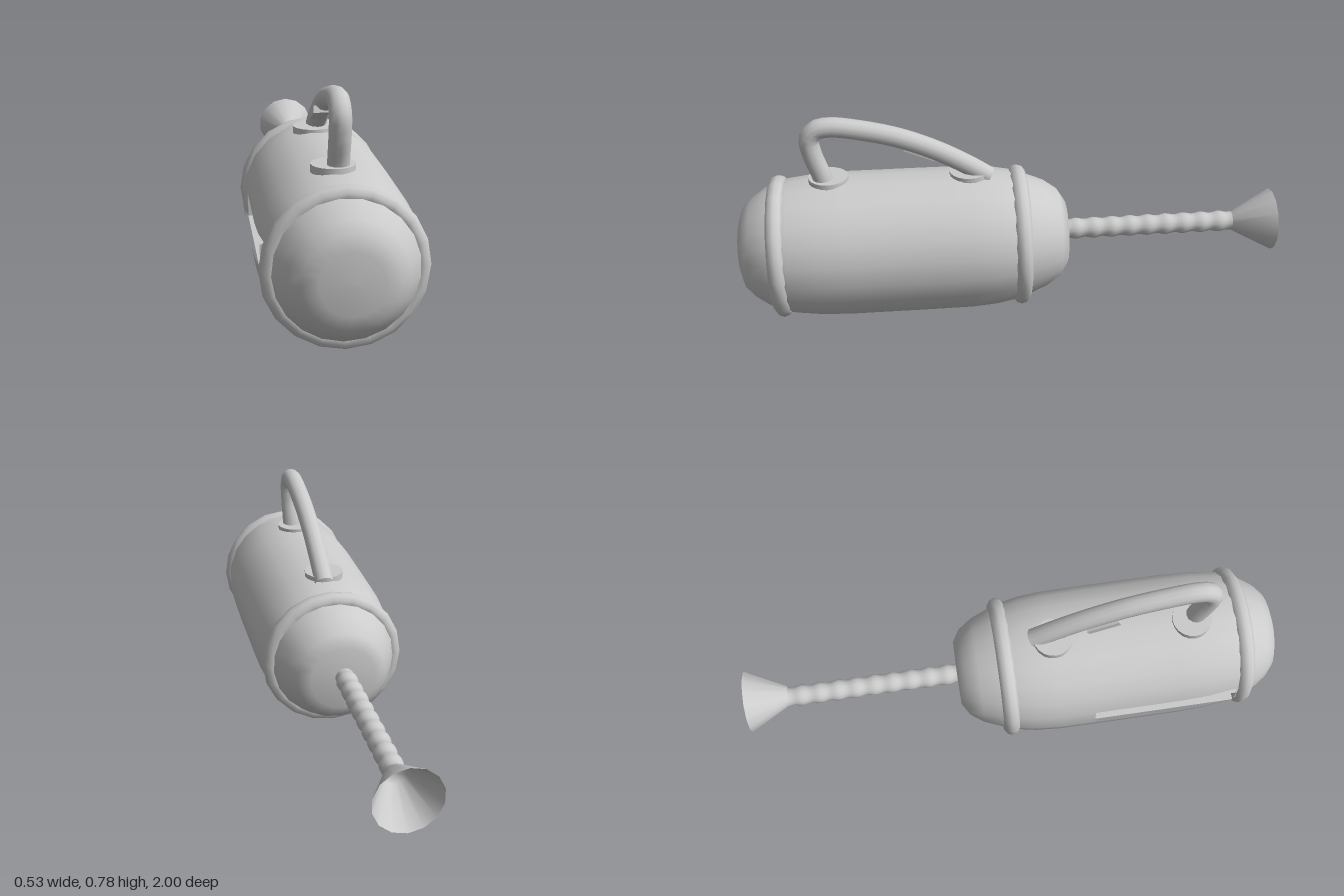
import * as THREE from 'three';

const AXIS_Y = 0.267;

export function createModel() {
  const model = new THREE.Group();
  const grey = new THREE.MeshStandardMaterial({ color: 0xcccccc });
  const thin = new THREE.MeshStandardMaterial({ color: 0xcccccc, side: THREE.DoubleSide });
  const add = (name, geometry, x, y, z, material = grey, parent = model) => {
    const mesh = new THREE.Mesh(geometry, material);
    mesh.name = name;
    mesh.position.set(x, y, z);
    parent.add(mesh);
    return mesh;
  };

  // Lathe around the z axis from [radius, z] pairs, z increasing
  const turned = (profile, segments = 20, start = 0, sweep = Math.PI * 2) =>
    new THREE.LatheGeometry(profile.map(([r, z]) => new THREE.Vector2(r, z)), segments, start, sweep)
      .rotateX(Math.PI / 2);

  // Tank: barrel with domed ends, left open along a side slot
  const rear = [[0, -0.21], [0.12, -0.208], [0.165, -0.18], [0.2, -0.13], [0.228, -0.06],
    [0.243, -0.02], [0.258, 0.06], [0.265, 0.15], [0.266, 0.28]];
  const front = [[0.25, 0.81], [0.238, 0.86], [0.215, 0.905], [0.185, 0.95],
    [0.15, 0.982], [0.1, 0.998], [0, 1]];
  const middle = [[0.266, 0.6], [0.262, 0.71]];
  const slotStart = Math.PI * 1.5 - 0.27, slotEnd = Math.PI * 1.5 + 0.04;
  const slotAngle = slotEnd - slotStart;
  add('tank', turned([...rear, ...middle, ...front], 20, slotEnd, Math.PI * 2 - slotAngle), 0, AXIS_Y, 0);
  for (const [name, part] of [['tankRearStrip', rear], ['tankFrontStrip', front]])
    add(name, turned(part, 1, slotStart, slotAngle), 0, AXIS_Y, 0);

  // Recess behind the slot
  const recess = new THREE.Group();
  recess.name = 'slotRecess';
  recess.position.set(-0.215, AXIS_Y + 0.03, 0.545);
  model.add(recess);
  const depth = 0.08, height = 0.081, length = 0.53;
  for (const side of [-1, 1]) {
    add('recessLedge', new THREE.PlaneGeometry(depth, length).rotateX(-Math.PI / 2),
      0, side * height / 2, 0, thin, recess);
    add('recessEnd', new THREE.PlaneGeometry(depth, height), 0, 0, side * length / 2, thin, recess);
  }
  add('recessBack', new THREE.PlaneGeometry(length, height).rotateY(-Math.PI / 2),
    depth / 2, 0, 0, thin, recess);

  // Bands round both ends of the barrel
  for (const z of [-0.03, 0.85])
    add('band', new THREE.TorusGeometry(0.232, 0.032, 10, 20), 0, AXIS_Y, z);

  // Handle: bent tube standing on two round feet
  const handlePath = new THREE.CatmullRomCurve3([
    [0.51, 0.672], [0.56, 0.683], [0.64, 0.708], [0.7, 0.714], [0.733, 0.69], [0.742, 0.64],
    [0.725, 0.53], [0.69, 0.4], [0.635, 0.27], [0.57, 0.155], [0.52, 0.08],
  ].map(([y, z]) => new THREE.Vector3(0, y, z)));
  add('handle', new THREE.TubeGeometry(handlePath, 40, 0.036, 12), 0.002, 0, 0);
  for (const z of [0.66, 0.15])
    add('handleFoot', new THREE.CylinderGeometry(0.072, 0.072, 0.035, 20), -0.012, 0.524, z);

  // Small trigger under the handle
  const trigger = add('trigger', new THREE.BoxGeometry(0.05, 0.025, 0.12), -0.014, 0.628, 0.325);
  trigger.rotation.x = -0.4;

  // Ribbed hose
  const hose = [];
  for (let i = 0; i <= 60; i++)
    hose.push([0.037 + 0.003 * Math.cos(i / 60 * Math.PI * 20), -0.87 + i / 60 * 0.69]);
  add('hose', turned(hose, 14), -0.004, 0.275, 0);

  // Flared open nozzle
  add('nozzle', turned([[0.117, -1], [0.037, -0.85], [0, -0.85]], 14), 0, 0.277, 0, thin);

  return model;
}
